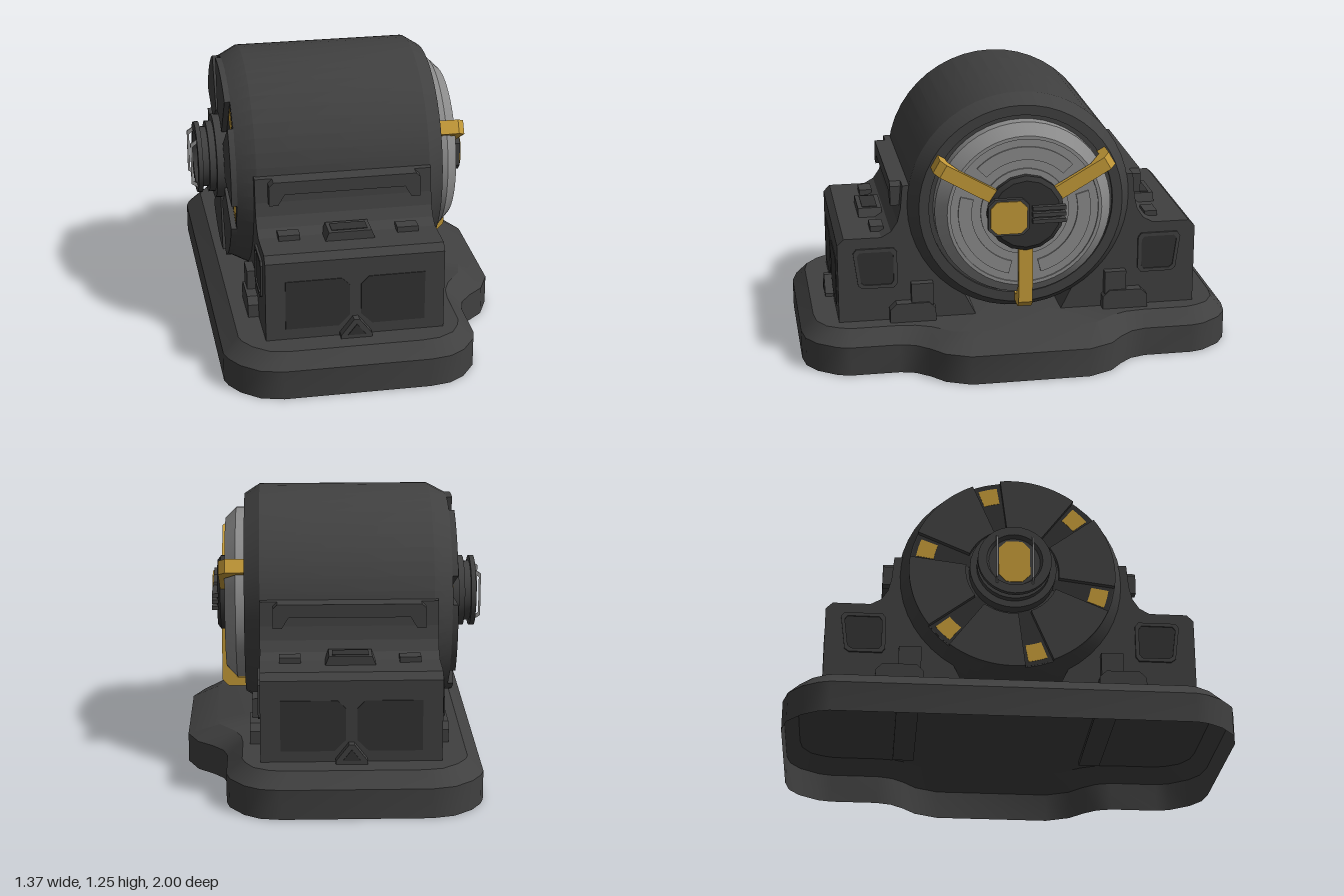
import * as THREE from 'three';
import { toCreasedNormals } from 'three/addons/utils/BufferGeometryUtils.js';

const AXIS = 0.743; // height of the drum axis

export function createModel() {
  const root = new THREE.Group();
  root.name = 'drumGenerator';
  const body = new THREE.MeshStandardMaterial({ color: 0x404040, side: THREE.DoubleSide });
  body.name = 'charcoal';
  const dark = new THREE.MeshStandardMaterial({ color: 0x323232 });
  dark.name = 'darkPanel';
  const steel = new THREE.MeshStandardMaterial({ color: 0x8c8c8c });
  steel.name = 'steelGrey';
  const gold = new THREE.MeshStandardMaterial({ color: 0xc49a38 });
  gold.name = 'gold';

  function add(parent, name, geo, mat, x = 0, y = 0, z = 0) {
    const m = new THREE.Mesh(geo, mat);
    m.name = name;
    m.position.set(x, y, z);
    parent.add(m);
    return m;
  }
  const box = (w, h, d) => new THREE.BoxGeometry(w, h, d);
  const shapeOf = (pts) => new THREE.Shape(pts.map(([x, y]) => new THREE.Vector2(x, y)));
  const extrude = (shape, depth) =>
    new THREE.ExtrudeGeometry(shape, { depth, bevelEnabled: false, curveSegments: 16 });
  // side profile (z, y) swept along x, centred
  const sweepX = (pts, w) => extrude(shapeOf(pts), w).translate(0, 0, -w / 2).rotateY(-Math.PI / 2);
  // profile of [radius, x] spun around the x axis
  const spin = (pts, n = 48) => toCreasedNormals(
    new THREE.LatheGeometry(pts.map(([r, x]) => new THREE.Vector2(r, x)), n).rotateZ(-Math.PI / 2), 0.5);
  // rectangle with cut corners
  const cutRect = (x0, x1, y0, y1, c) => [
    [x0 + c, y0], [x1 - c, y0], [x1, y0 + c], [x1, y1 - c],
    [x1 - c, y1], [x0 + c, y1], [x0, y1 - c], [x0, y0 + c]];
  const frame = (outer, inner) => {
    const s = shapeOf(outer);
    s.holes.push(shapeOf(inner));
    return s;
  };
  function sector(r0, r1, a0, a1) {
    const s = new THREE.Shape();
    s.absarc(0, 0, r1, a0, a1, false);
    s.absarc(0, 0, r0, a1, a0, true);
    return s;
  }

  // Base: open-bottomed shell with a sloped rim and a bulge on the +x side
  const half = [ // outer x, z, then top x, z
    [0.68, 0.27, 0.55, 0.24], [0.63, 0.38, 0.53, 0.33], [0.56, 0.44, 0.46, 0.42],
    [0.51, 0.50, 0.43, 0.49], [0.49, 0.57, 0.42, 0.57], [0.49, 0.79, 0.42, 0.78],
    [0.475, 0.85, 0.405, 0.83], [0.41, 0.94, 0.37, 0.89], [0.34, 0.985, 0.30, 0.93],
    [0.25, 1, 0.22, 0.94], [-0.40, 1, -0.37, 0.94], [-0.50, 0.975, -0.45, 0.925],
    [-0.58, 0.91, -0.52, 0.87], [-0.625, 0.84, -0.56, 0.81], [-0.64, 0.79, -0.57, 0.77]];
  const outline = [...half, ...half.map(([a, b, c, d]) => [a, -b, c, -d]).reverse()];
  const tri = [];
  outline.forEach((p, i) => {
    const q = outline[(i + 1) % outline.length];
    const rings = (v) => [[v[0], 0, v[1]], [v[0], 0.135, v[1]], [v[2], 0.2, v[3]], [-0.05, 0.2, 0]];
    const P = rings(p), Q = rings(q);
    for (let k = 0; k < 3; k++) {
      tri.push(...P[k], ...P[k + 1], ...Q[k]);
      if (k < 2) tri.push(...Q[k], ...P[k + 1], ...Q[k + 1]);
    }
  });
  const baseGeo = new THREE.BufferGeometry();
  baseGeo.setAttribute('position', new THREE.Float32BufferAttribute(tri, 3));
  baseGeo.computeVertexNormals();
  add(root, 'base', toCreasedNormals(baseGeo, 0.5), body);

  // Pedestals: one at the front, one turned to the back
  const profile = [[0.2, 0.2], [0.83, 0.2], [0.83, 0.57], [0.80, 0.6], [0.63, 0.6], [0.585, 0.625],
    [0.555, 0.67], [0.54, 0.73], [0.53, 0.84], [0.49, 0.84], [0.4, 0.6]];
  for (const turn of [0, Math.PI]) {
    const p = new THREE.Group();
    p.name = turn ? 'backPedestal' : 'frontPedestal';
    p.position.x = -0.0575;
    p.rotation.y = turn;
    root.add(p);
    add(p, 'pedestalBlock', sweepX(profile, 0.795), body);
    add(p, 'foot', sweepX([[0.39, 0.2], [0.6, 0.2], [0.6, 0.26], [0.57, 0.29], [0.42, 0.29], [0.39, 0.26]], 0.89), body);
    add(p, 'cradle', box(0.87, 0.2, 0.1), body, 0, 0.28, 0.45);

    // front panels, with the inner corners cut
    for (const s of [-1, 1]) {
      const pts = [[0.025, 0.30], [0.075, 0.25], [0.31, 0.25], [0.31, 0.48], [0.06, 0.48], [0.025, 0.445]]
        .map(([x, y]) => [x * s, y]);
      add(p, 'frontPanel', extrude(shapeOf(pts), 0.006), dark, 0, 0, 0.828);
      // panels on the ends of the pedestal
      const side = new THREE.Group();
      side.name = 'endPanel';
      side.position.set(s * 0.3975, 0, 0.66);
      side.rotation.y = s * Math.PI / 2;
      p.add(side);
      const out = [[-0.085, 0.36], [0.06, 0.36], [0.08, 0.375], [0.1, 0.53], [0.085, 0.55], [-0.085, 0.55], [-0.1, 0.53], [-0.1, 0.38]]
        .map(([x, y]) => [-s * x, y]);
      const inn = out.map(([x, y]) => [x * 0.83, 0.455 + (y - 0.455) * 0.83]);
      add(side, 'endPanelFrame', extrude(frame(out, inn), 0.01), body);
      add(side, 'endPanelInset', extrude(shapeOf(inn), 0.004), dark);
      add(p, 'shelfPad', box(0.095, 0.03, 0.06), body, s * 0.265, 0.61, 0.64);
    }

    // triangular marker at the foot of the face
    add(p, 'triangleBlock', extrude(shapeOf([[-0.07, 0.2], [0.07, 0.2], [0.07, 0.215], [0.012, 0.29], [-0.012, 0.29], [-0.07, 0.215]]), 0.04), body, 0, 0, 0.828);
    add(p, 'triangleInset', extrude(shapeOf([[-0.04, 0.217], [0.04, 0.217], [0, 0.268]]), 0.004), dark, 0, 0, 0.868);

    // raised vent on the shelf
    add(p, 'shelfVent', extrude(shapeOf([[-0.115, 0.59], [0.115, 0.59], [0.095, 0.64], [-0.095, 0.64]]), 0.11), body, 0, 0, 0.595);
    add(p, 'ventInset', box(0.16, 0.004, 0.07), dark, 0, 0.641, 0.65);

    // grab handle beside the drum
    const handle = [[-0.34, 0.73], [-0.30, 0.73], [-0.27, 0.78], [0.27, 0.78], [0.30, 0.73], [0.34, 0.73],
      [0.34, 0.82], [0.32, 0.84], [-0.32, 0.84], [-0.34, 0.82]];
    add(p, 'handle', extrude(shapeOf(handle), 0.07), body, 0, 0, 0.51);
  }

  // Drum
  const drum = new THREE.Group();
  drum.name = 'drum';
  drum.position.y = AXIS;
  root.add(drum);
  add(drum, 'drumShell', spin([[0, -0.525], [0.465, -0.525], [0.51, -0.44], [0.51, 0.34], [0.465, 0.41],
    [0.42, 0.41], [0.42, 0.395], [0, 0.395]]), body);

  // Steel end cap with raised arcs
  add(drum, 'endCap', spin([[0, 0.38], [0.4, 0.38], [0.4, 0.45], [0.35, 0.5], [0.335, 0.5], [0.335, 0.492],
    [0.2, 0.492], [0.2, 0.5], [0, 0.5]]), steel);
  for (let i = 0; i < 3; i++) {
    const mid = Math.PI / 2 + i * Math.PI * 2 / 3;
    add(drum, 'capArc', extrude(sector(0.24, 0.3, mid - 0.8, mid + 0.8), 0.009).rotateY(Math.PI / 2), steel, 0.491);
    // gold clamp, cross-section in (x, radius)
    const clamp = add(drum, 'clamp', extrude(shapeOf([[0.40, 0.415], [0.45, 0.415], [0.5, 0.36], [0.5, 0.15],
      [0.525, 0.15], [0.525, 0.425], [0.495, 0.455], [0.40, 0.455]]), 0.064).translate(0, 0, -0.032), gold);
    clamp.rotation.x = Math.PI / 3 + i * Math.PI * 2 / 3;
  }

  // Hub on the capped end
  add(drum, 'capHub', spin([[0, 0.49], [0.175, 0.49], [0.175, 0.525], [0.155, 0.54], [0, 0.54]], 16), dark);
  const turnR = (g) => g.rotateY(Math.PI / 2);
  const lug = cutRect(-0.175, 0.01, -0.09, 0.08, 0.03);
  add(drum, 'latchBlock', turnR(extrude(shapeOf(lug), 0.025)), body, 0.535);
  add(drum, 'latchFace', turnR(extrude(shapeOf(cutRect(-0.165, 0, -0.08, 0.07, 0.03)), 0.006)), gold, 0.56);
  for (const y of [-0.03, 0, 0.03]) add(drum, 'hubFin', box(0.03, 0.018, 0.15), body, 0.548, y, -0.1);

  // Fan plates on the other end, gold showing in the gaps
  for (let i = 0; i < 6; i++) {
    const gap = Math.PI / 4 + i * Math.PI / 3;
    const turnL = (g) => g.rotateY(-Math.PI / 2);
    add(drum, 'fanPlate', turnL(extrude(sector(0.21, 0.465, gap + 0.14, gap + Math.PI / 3 - 0.14), 0.027)), body, -0.523);
    add(drum, 'fanGap', turnL(extrude(sector(0.19, 0.46, gap - 0.14, gap + 0.14), 0.003)), dark, -0.523);
    add(drum, 'fanAccent', turnL(extrude(sector(0.36, 0.44, gap - 0.1, gap + 0.1), 0.005)), gold, -0.523);
  }

  // Stepped coupling with a recessed gold face and two guard frames
  add(drum, 'coupling', spin([[0, -0.64], [0.115, -0.64], [0.125, -0.662], [0.165, -0.662], [0.165, -0.64],
    [0.14, -0.64], [0.14, -0.61], [0.165, -0.61], [0.165, -0.58], [0.195, -0.58], [0.195, -0.52], [0, -0.52]], 32), body);
  add(drum, 'couplingFace', extrude(shapeOf(cutRect(-0.07, 0.07, -0.1, 0.1, 0.035)), 0.006).rotateY(-Math.PI / 2), gold, -0.638);
  for (const z of [-0.08, 0.08]) {
    add(drum, 'guardFrame', extrude(frame(
      [[-0.64, -0.12], [-0.66, -0.12], [-0.69, -0.1], [-0.69, 0.1], [-0.66, 0.12], [-0.64, 0.12]],
      [[-0.645, -0.1], [-0.66, -0.1], [-0.68, -0.085], [-0.68, 0.085], [-0.66, 0.1], [-0.645, 0.1]]), 0.008), steel, 0, 0, z - 0.004);
  }
  return root;
}
